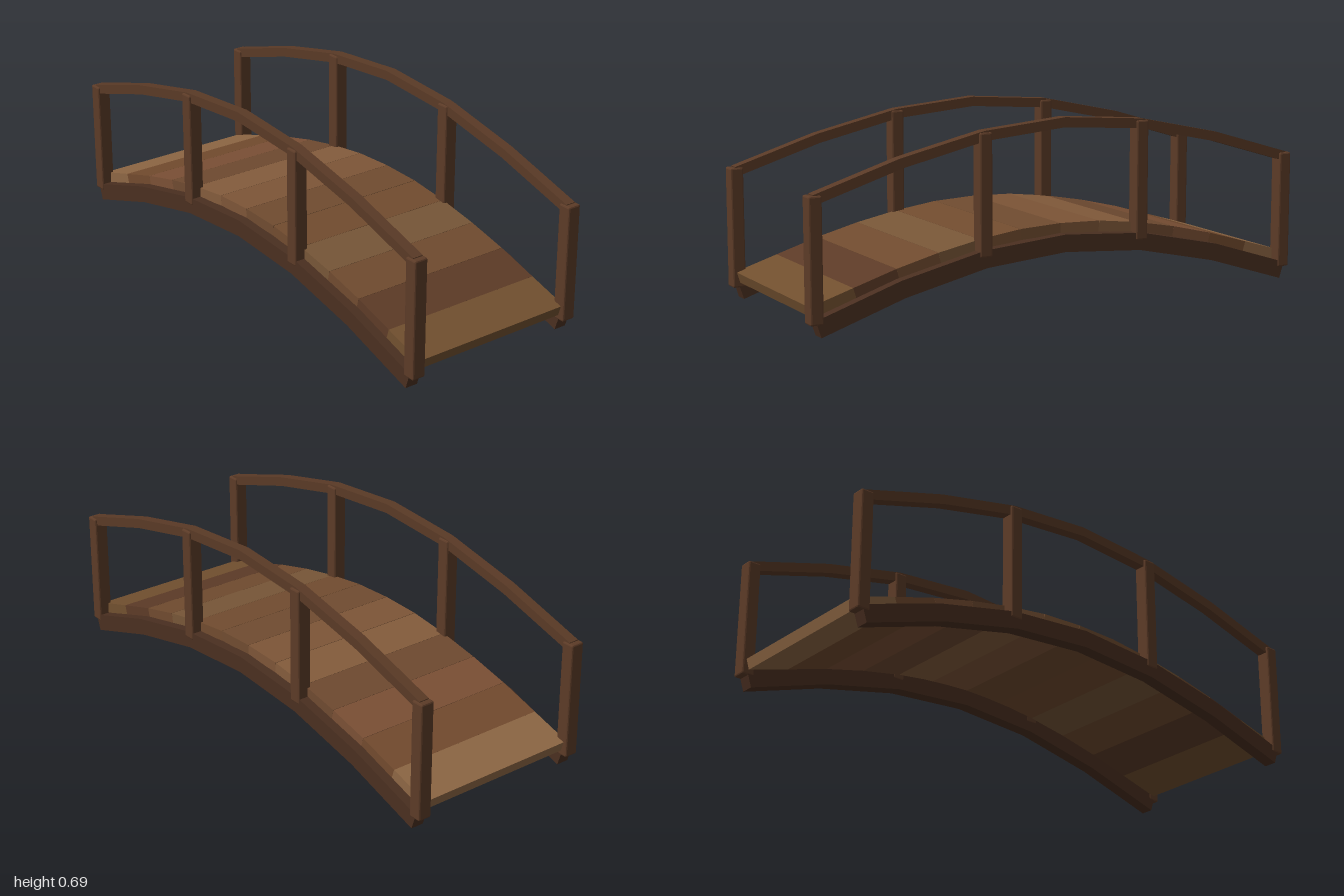
import * as THREE from 'three';
import { RoundedBoxGeometry } from 'three/addons/geometries/RoundedBoxGeometry.js';

const material = (color) => new THREE.MeshStandardMaterial({ color, flatShading: true });

// Sweep a band of constant thickness along [z, y] points, extruded across x
function beamGeometry(points, thickness, width) {
  const pts = points.map(([z, y]) => new THREE.Vector2(z, y));
  const upper = [], lower = [];
  pts.forEach((p, i) => {
    const a = pts[Math.max(i - 1, 0)], b = pts[Math.min(i + 1, pts.length - 1)];
    const t = b.clone().sub(a).normalize();
    const n = new THREE.Vector2(-t.y, t.x).multiplyScalar(thickness / 2);
    upper.push(p.clone().add(n));
    lower.push(p.clone().sub(n));
  });
  const shape = new THREE.Shape([...lower, ...upper.reverse()]);
  const geometry = new THREE.ExtrudeGeometry(shape, { depth: width, bevelEnabled: false });
  return geometry.translate(0, 0, -width / 2).rotateY(-Math.PI / 2);
}

// Mirror half of an arch, given from the crown outward, to the full span
const fullArch = (half) => [
  ...half.slice(1).reverse().map(([z, y]) => [-z, y]),
  ...half,
];

export function createModel() {
  const bridge = new THREE.Group();
  bridge.name = 'footbridge';
  const add = (name, geometry, mat, x = 0, y = 0, z = 0) => {
    const mesh = new THREE.Mesh(geometry, mat);
    mesh.name = name;
    mesh.position.set(x, y, z);
    bridge.add(mesh);
  };

  const postWood = material(0x5c3b27);
  const railWood = material(0x5a3a26);
  const beamWood = material(0x4a2f20);

  const beamArch = fullArch([[0, 0.232], [0.325, 0.207], [0.65, 0.135], [0.97, 0.032]]);
  const railArch = fullArch([[0, 0.669], [0.325, 0.643], [0.65, 0.572], [0.975, 0.474]]);
  const beam = beamGeometry(beamArch, 0.064, 0.05);
  const rail = beamGeometry(railArch, 0.036, 0.04);
  const post = new RoundedBoxGeometry(0.054, 0.442, 0.05, 1, 0.006);

  // Both sides: arched beam, handrail and four posts
  for (const [side, s] of [['left', 1], ['right', -1]]) {
    add(`${side}Beam`, beam, beamWood, s * 0.342);
    add(`${side}Handrail`, rail, railWood, s * 0.342);
    for (const z of [-0.975, -0.325, 0.325, 0.975]) {
      const y = Math.abs(z) > 0.5 ? 0.267 : 0.434;
      add(`${side}Post`, post, postWood, s * 0.343, y, z);
    }
  }

  // Deck planks, back to front
  const deckTop = fullArch([
    [0, 0.3], [0.163, 0.294], [0.327, 0.273], [0.49, 0.242],
    [0.653, 0.202], [0.817, 0.153], [0.98, 0.104],
  ]);
  const plankColors = [
    0x8e6744, 0x734b2e, 0x7b5035, 0x6f4a30, 0x845c3c, 0x7d5537,
    0x704c30, 0x724c2f, 0x775637, 0x704b2f, 0x5d3b27, 0x72502f,
  ];
  plankColors.forEach((color, i) => {
    const ends = [deckTop[i], deckTop[i + 1]].map(([z, y]) => [z, y - 0.02]);
    add('deckPlank', beamGeometry(ends, 0.04, 0.66), material(color));
  });
  return bridge;
}
